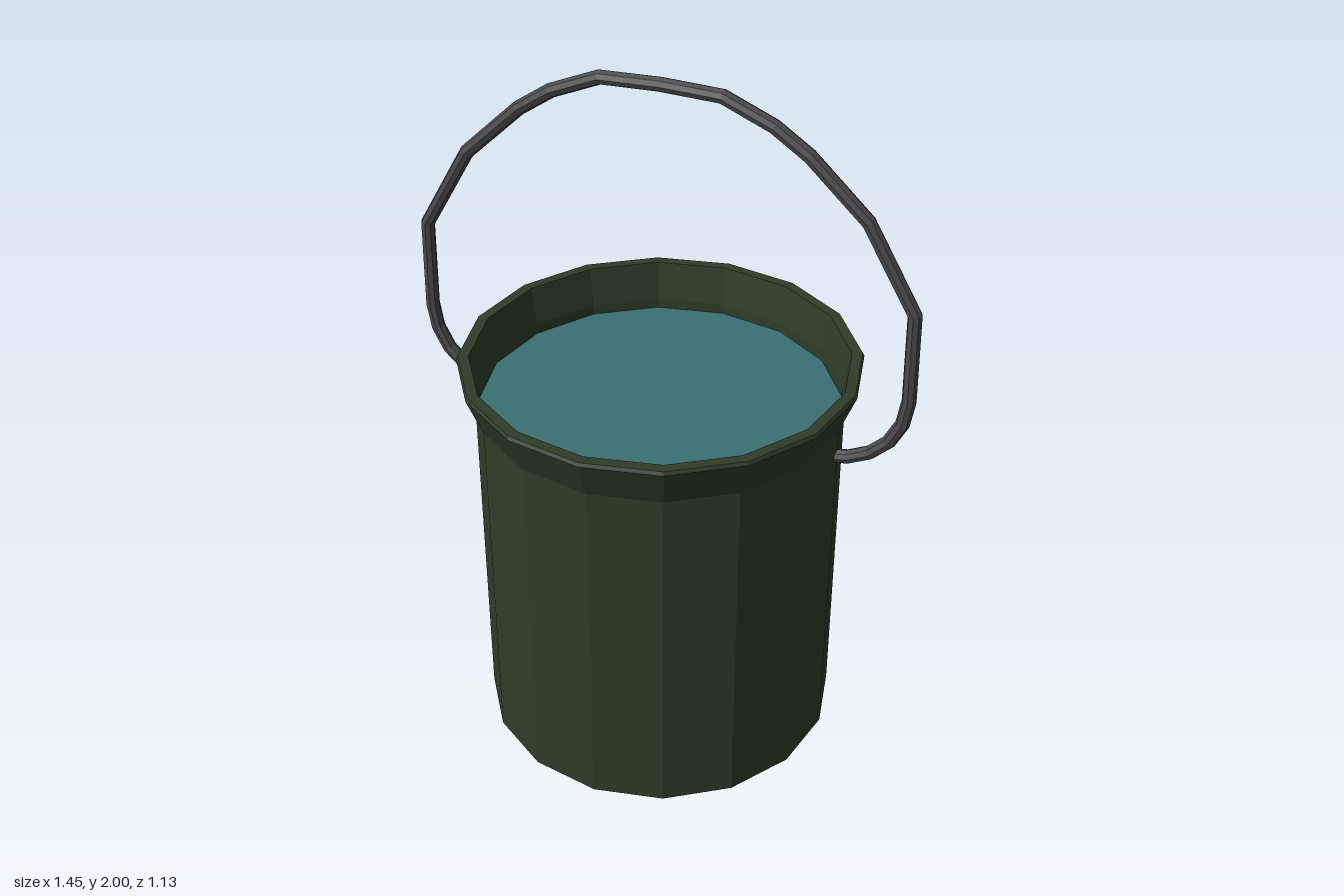
import * as THREE from 'three';

const SIDES = 16;

// Straight-segment path whose samples fall exactly on its corners, with mitred tangents
class Polyline extends THREE.Curve {
  constructor(points) {
    super();
    this.points = points;
  }
  getPoint(t, target = new THREE.Vector3()) {
    const p = this.points, s = t * (p.length - 1);
    const i = Math.min(Math.floor(s + 1e-6), p.length - 2);
    return target.lerpVectors(p[i], p[i + 1], s - i);
  }
  getPointAt(t, target) {
    return this.getPoint(t, target);
  }
  getTangentAt(t, target = new THREE.Vector3()) {
    const p = this.points, n = p.length - 1, i = Math.round(t * n);
    const dir = (a, b) => p[b].clone().sub(p[a]).normalize();
    target.set(0, 0, 0);
    if (i > 0) target.add(dir(i - 1, i));
    if (i < n) target.add(dir(i, i + 1));
    return target.normalize();
  }
}

function material(color) {
  return new THREE.MeshStandardMaterial({ color, flatShading: true });
}

export function createModel() {
  const model = new THREE.Group();
  model.name = 'bucket';
  const add = (name, geometry, color) => {
    const mesh = new THREE.Mesh(geometry, material(color));
    mesh.name = name;
    model.add(mesh);
    return mesh;
  };

  // Bucket shell: base, outer wall, flared rim, then the inner wall and floor
  const profile = [
    [0, 0], [0.52, 0], [0.52, 1.06], [0.565, 1.175], [0.56, 1.185],
    [0.53, 1.185], [0.51, 1.07], [0.51, 0.03], [0, 0.03],
  ].map(([r, y]) => new THREE.Vector2(r, y));
  add('bucketShell', new THREE.LatheGeometry(profile, SIDES), 0x2f3d27);

  // Water surface
  const water = add('water', new THREE.CircleGeometry(0.512, SIDES), 0x3a7073);
  water.rotation.x = -Math.PI / 2;
  water.position.y = 1.04;

  // Bent wire handle: one half from the wall up to the crown, then mirrored
  const half = [
    [0.5, 0.975], [0.55, 0.983], [0.61, 1.012], [0.66, 1.06], [0.693, 1.125],
    [0.705, 1.2], [0.7, 1.46], [0.562, 1.7], [0.4, 1.853], [0.305, 1.917], [0.167, 1.975],
  ];
  const mirrored = half.map(([x, y]) => [-x, y]).reverse();
  const path = [...half, [0, 1.981], ...mirrored].map(([x, y]) => new THREE.Vector3(x, y, 0));
  add('handle', new THREE.TubeGeometry(new Polyline(path), path.length - 1, 0.02, 8), 0x4a4a4c);

  return model;
}
